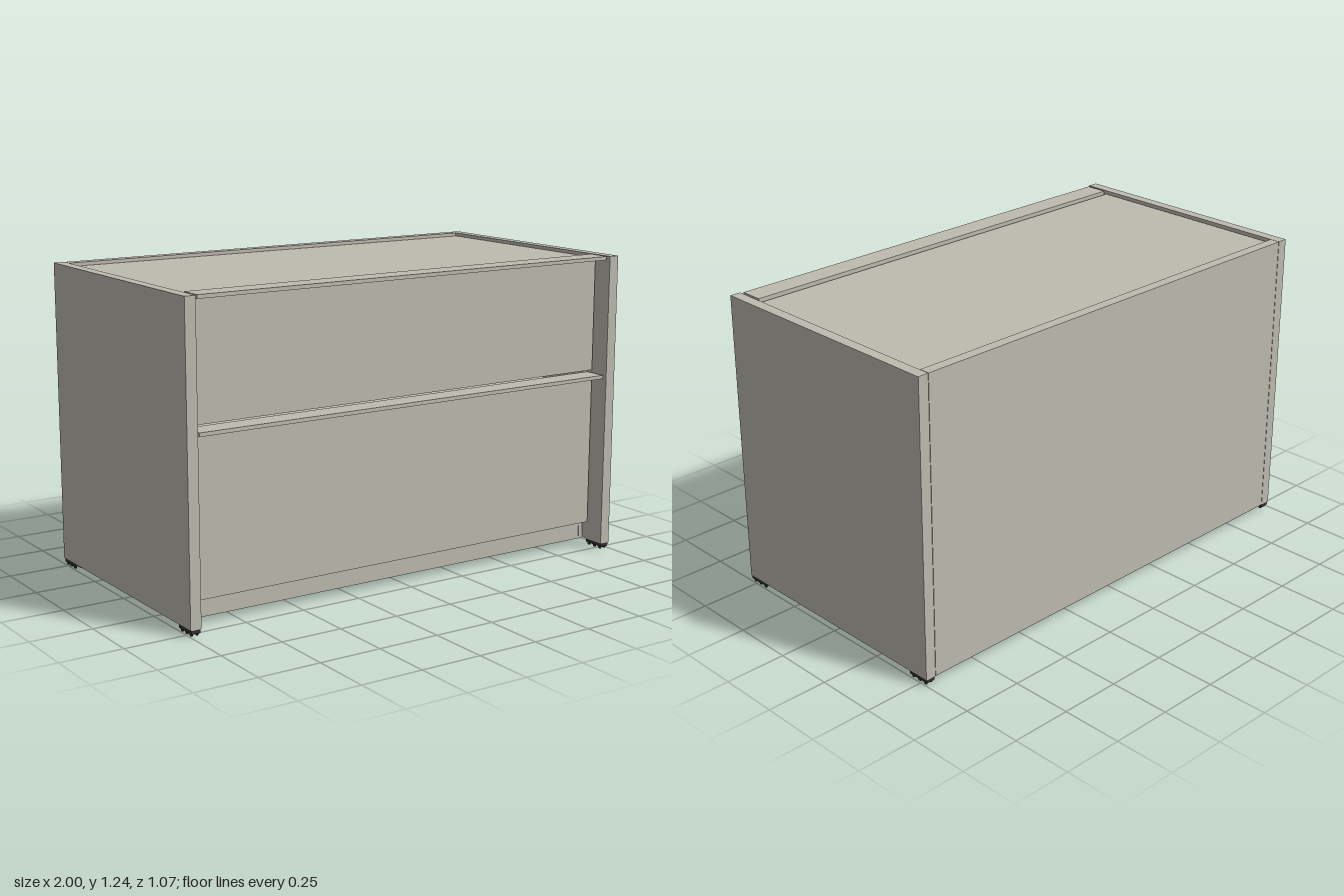
import * as THREE from 'three';

export function createModel() {
  const root = new THREE.Group();
  root.name = 'drawerCabinet';
  const paint = new THREE.MeshStandardMaterial({ color: 0xbebbb0 });
  paint.name = 'warm grey paint';
  const rubber = new THREE.MeshStandardMaterial({ color: 0x333130 });
  rubber.name = 'dark rubber';

  // Box given by its min and max on each axis
  function box(parent, name, x0, x1, y0, y1, z0, z1, material = paint) {
    const mesh = new THREE.Mesh(new THREE.BoxGeometry(x1 - x0, y1 - y0, z1 - z0), material);
    mesh.position.set((x0 + x1) / 2, (y0 + y1) / 2, (z0 + z1) / 2);
    mesh.name = name;
    parent.add(mesh);
    return mesh;
  }

  // Outer shell
  for (const [s, side] of [[1, 'left'], [-1, 'right']]) {
    const xs = (a, b) => (s > 0 ? [a, b] : [-b, -a]);
    box(root, side + 'SidePanel', ...xs(0.956, 1), 0.025, 1.235, -0.533, 0.533);
    box(root, side + 'CarcassWall', ...xs(0.93, 0.95), 0.025, 1.222, -0.482, 0.422);
  }
  box(root, 'backPanel', -0.954, 0.954, 0.025, 1.235, -0.533, -0.49);

  // Inner carcass
  box(root, 'topPanel', -0.95, 0.95, 1.2, 1.222, -0.482, 0.422);
  box(root, 'bottomPanel', -0.93, 0.93, 0.105, 0.125, -0.482, 0.42);
  box(root, 'carcassBack', -0.93, 0.93, 0.025, 1.2, -0.482, -0.462);
  box(root, 'plinth', -0.945, 0.945, 0.025, 0.105, 0.375, 0.42);

  // Drawers: recessed front, projecting pull lip along the top, body behind
  for (const [name, y0, y1] of [['lowerDrawer', 0.105, 0.745], ['upperDrawer', 0.757, 1.235]]) {
    const drawer = new THREE.Group();
    drawer.name = name;
    box(drawer, name + 'Front', -0.945, 0.945, y0, y1 - 0.015, 0.43, 0.458);
    box(drawer, name + 'PullLip', -0.945, 0.945, y1 - 0.015, y1, 0.43, 0.525);
    box(drawer, name + 'Body', -0.915, 0.915, y0 + 0.03, y1 - 0.06, -0.44, 0.43);
    root.add(drawer);
  }

  // Feet: a plate with two rows of three small studs
  for (const sx of [-1, 1]) {
    for (const sz of [-1, 1]) {
      const foot = new THREE.Group();
      foot.name = 'foot';
      box(foot, 'footPlate', -0.018, 0.018, 0.01, 0.025, -0.047, 0.047, rubber);
      for (const x of [-0.011, 0.011]) {
        for (const z of [-0.033, 0, 0.033]) {
          const stud = new THREE.Mesh(new THREE.CylinderGeometry(0.01, 0.007, 0.011, 12), rubber);
          stud.scale.x = 0.65;
          stud.position.set(x, 0.0055, z);
          stud.name = 'footStud';
          foot.add(stud);
        }
      }
      foot.position.set(sx * 0.978, 0, sz * 0.484);
      root.add(foot);
    }
  }
  return root;
}
